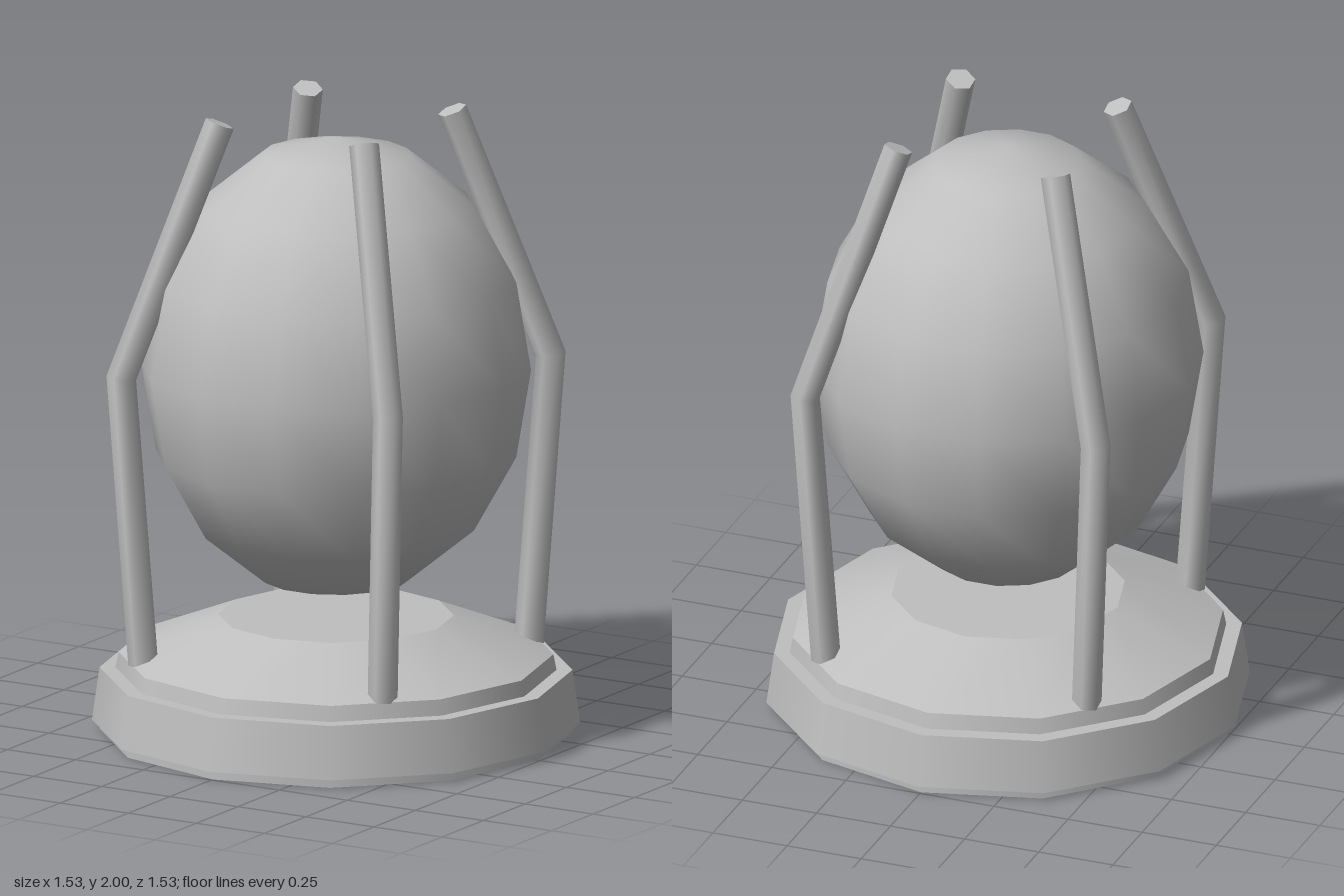
import * as THREE from 'three';

const grey = new THREE.MeshStandardMaterial({ color: 0xbfbfbf });
grey.name = 'grey';

function part(name, geometry) {
  const mesh = new THREE.Mesh(geometry, grey);
  mesh.name = name;
  return mesh;
}

// Twelve-sided tier of the base between two heights
function tier(name, rBottom, rTop, y0, y1) {
  const mesh = part(name, new THREE.CylinderGeometry(rTop, rBottom, y1 - y0, 12));
  mesh.position.y = (y0 + y1) / 2;
  return mesh;
}

// Hexagonal rod bent once, its rings carried along three path points
function bentRod(points, radius) {
  const geometry = new THREE.CylinderGeometry(radius, radius, 2, 6, 2);
  const up = new THREE.Vector3(0, 1, 0);
  const lower = points[1].clone().sub(points[0]).normalize();
  const upper = points[2].clone().sub(points[1]).normalize();
  const middle = lower.clone().add(upper).normalize();
  const turns = [lower, middle, upper].map((t) => new THREE.Quaternion().setFromUnitVectors(up, t));
  const { position, normal } = geometry.attributes;
  const v = new THREE.Vector3();
  for (let i = 0; i < position.count; i++) {
    const ring = Math.round(position.getY(i)) + 1;
    v.fromBufferAttribute(position, i).setY(0).applyQuaternion(turns[ring]).add(points[ring]);
    position.setXYZ(i, v.x, v.y, v.z);
    v.fromBufferAttribute(normal, i).applyQuaternion(turns[ring]);
    normal.setXYZ(i, v.x, v.y, v.z);
  }
  return geometry;
}

export function createModel() {
  const model = new THREE.Group();
  model.name = 'eggInStand';

  // Stepped base
  model.add(
    tier('baseFoot', 0.742, 0.742, 0, 0.03),
    tier('baseRim', 0.766, 0.742, 0.03, 0.2),
    tier('baseCollar', 0.692, 0.682, 0.2, 0.25),
    tier('baseDome', 0.682, 0.37, 0.25, 0.375),
  );

  // Floating egg
  const egg = part('egg', new THREE.SphereGeometry(0.615, 14, 8));
  egg.scale.y = 0.74 / 0.615;
  egg.position.y = 1.18;
  model.add(egg);

  // Four bent posts leaning in over the egg
  for (const sx of [1, -1]) {
    for (const sz of [1, -1]) {
      const path = [[0.44, 0.25], [0.49, 1.18], [0.265, 1.985]]
        .map(([d, y]) => new THREE.Vector3(sx * d, y, sz * d));
      const name = (sz > 0 ? 'front' : 'back') + (sx > 0 ? 'Left' : 'Right') + 'Post';
      model.add(part(name, bentRod(path, 0.047)));
    }
  }
  return model;
}
